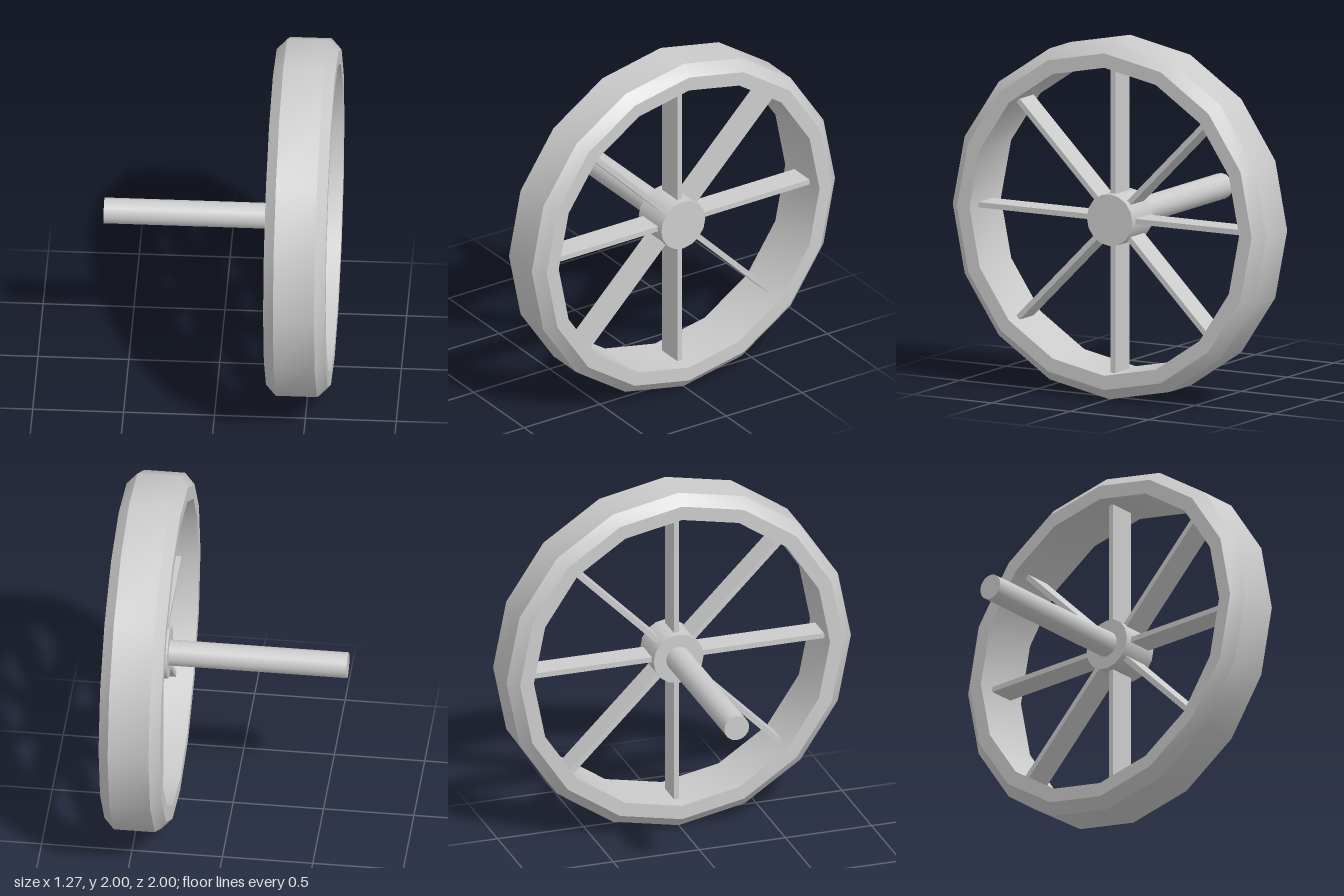
import * as THREE from 'three';
import { toCreasedNormals } from 'three/addons/utils/BufferGeometryUtils.js';

const SIDES = 16;
const MID = 0.4625; // x of the wheel's middle plane

export function createModel() {
  const model = new THREE.Group();
  model.name = 'wheelAndAxle';
  const material = new THREE.MeshStandardMaterial({ color: 0xcccccc });

  const add = (name, geometry, parent = model) => {
    const mesh = new THREE.Mesh(geometry, material);
    mesh.name = name;
    parent.add(mesh);
    return mesh;
  };

  // Cylinder lying along x between two ends, centred on the axle line
  const rod = (name, radius, x0, x1) => {
    const geometry = new THREE.CylinderGeometry(radius, radius, x1 - x0, SIDES);
    geometry.rotateZ(-Math.PI / 2);
    add(name, geometry).position.set((x0 + x1) / 2, 1, 0);
  };

  // Rim: closed chamfered cross-section (radius, offset from middle plane)
  const profile = [
    [0.86, -0.17], [0.94, -0.17], [1, -0.113], [1, 0.113],
    [0.94, 0.17], [0.86, 0.17], [0.86, -0.17],
  ].map(([r, h]) => new THREE.Vector2(r, h));
  const rimGeometry = new THREE.LatheGeometry(profile, SIDES);
  rimGeometry.rotateZ(-Math.PI / 2);
  add('rim', toCreasedNormals(rimGeometry, Math.PI / 6)).position.set(MID, 1, 0);

  // Hub and axle
  rod('hub', 0.145, 0.35, 0.575);
  rod('axle', 0.072, -0.635, 0.36);

  // Eight flat spokes from the hub to the rim's corners
  const spokes = new THREE.Group();
  spokes.name = 'spokes';
  spokes.position.set(MID, 1, 0);
  model.add(spokes);
  const spokeGeometry = new THREE.BoxGeometry(0.15, 0.74, 0.03);
  spokeGeometry.translate(0, 0.49, 0);
  for (let i = 0; i < 8; i++) {
    add('spoke', spokeGeometry, spokes).rotation.x = (i * Math.PI) / 4;
  }

  return model;
}
